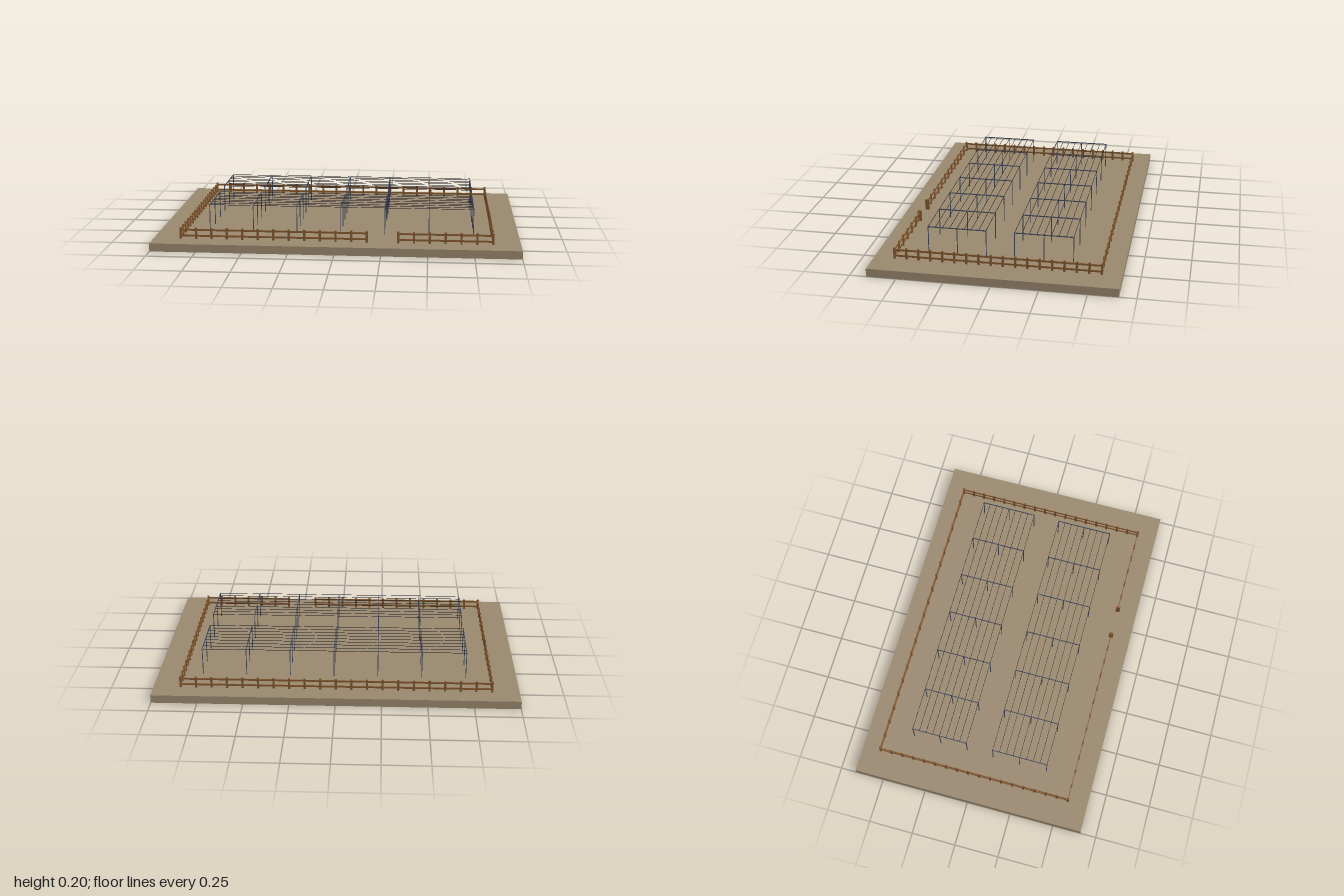
import * as THREE from 'three';

export function createModel() {
  const model = new THREE.Group();
  model.name = 'fencedTrellisYard';

  const mat = (name, color, side = THREE.FrontSide) => {
    const m = new THREE.MeshStandardMaterial({ color, side });
    m.name = name;
    return m;
  };
  const earth = mat('earth', 0x9c8a70, THREE.DoubleSide);
  const wood = mat('wood', 0x85592f);
  const steel = mat('steel', 0x454c60);
  const wire = mat('wire', 0x1c1d24);

  const group = (name, parent = model) => {
    const g = new THREE.Group();
    g.name = name;
    parent.add(g);
    return g;
  };
  const box = (parent, name, m, w, h, d, x, y, z) => {
    const mesh = new THREE.Mesh(new THREE.BoxGeometry(w, h, d), m);
    mesh.name = name;
    mesh.position.set(x, y, z);
    parent.add(mesh);
    return mesh;
  };

  // Ground slab: a shell that is open underneath
  const W = 2, D = 1.32, H = 0.045;
  const base = group('ground');
  const panel = (name, w, h, x, y, z, rx, ry) => {
    const mesh = new THREE.Mesh(new THREE.PlaneGeometry(w, h), earth);
    mesh.name = name;
    mesh.position.set(x, y, z);
    mesh.rotation.set(rx, ry, 0);
    base.add(mesh);
  };
  panel('groundTop', W, D, 0, H, 0, -Math.PI / 2, 0);
  panel('groundFront', W, H, 0, H / 2, D / 2, 0, 0);
  panel('groundBack', W, H, 0, H / 2, -D / 2, 0, Math.PI);
  panel('groundLeft', D, H, W / 2, H / 2, 0, 0, Math.PI / 2);
  panel('groundRight', D, H, -W / 2, H / 2, 0, 0, -Math.PI / 2);

  // Fence run along local x, with evenly spaced posts and two rails
  const fence = group('fence');
  const fenceRun = (name, x0, z0, x1, z1, spans) => {
    const run = group(name, fence);
    const length = Math.hypot(x1 - x0, z1 - z0);
    run.position.set((x0 + x1) / 2, 0, (z0 + z1) / 2);
    run.rotation.y = -Math.atan2(z1 - z0, x1 - x0);
    for (let i = 0; i <= spans; i++) {
      box(run, 'fencePost', wood, 0.012, 0.065, 0.008, -length / 2 + (length * i) / spans, 0.0745, 0);
    }
    for (const y of [0.062, 0.095]) {
      box(run, 'fenceRail', wood, length, 0.01, 0.004, 0, y, 0);
    }
  };
  const X = 0.85, ZF = 0.547, ZB = -0.555;
  fenceRun('backFence', -X, ZB, X, ZB, 20);
  fenceRun('rightFence', -X, ZB, -X, ZF, 17);
  fenceRun('leftFence', X, ZB, X, ZF, 17);
  fenceRun('frontFenceRight', -X, ZF, 0.17, ZF, 12);
  fenceRun('frontFenceLeft', 0.34, ZF, X, ZF, 6);
  for (const x of [0.17, 0.34]) {
    box(fence, 'gatePost', wood, 0.009, 0.065, 0.024, x, 0.0745, ZF);
  }

  // Two trellises: seven portal frames each, with wires strung across the top
  const trellis = (name, zBack, zFront) => {
    const t = group(name);
    const zMid = (zBack + zFront) / 2, depth = zFront - zBack;
    const xStart = -0.717, step = 0.2443, top = 0.198;
    for (let i = 0; i < 7; i++) {
      const x = xStart + i * step;
      for (const z of [zBack, zMid, zFront]) {
        box(t, 'trellisPole', steel, 0.004, top - 0.042, 0.004, x, (top + 0.042) / 2, z);
      }
      box(t, 'trellisCrossbar', steel, 0.004, 0.005, depth + 0.004, x, top - 0.0015, zMid);
    }
    for (let i = 0; i <= 8; i++) {
      box(t, 'trellisWire', wire, 6 * step, 0.002, 0.002, xStart + 3 * step, top, zBack + (depth * i) / 8);
    }
  };
  trellis('backTrellis', -0.394, -0.08);
  trellis('frontTrellis', 0.073, 0.387);

  return model;
}
